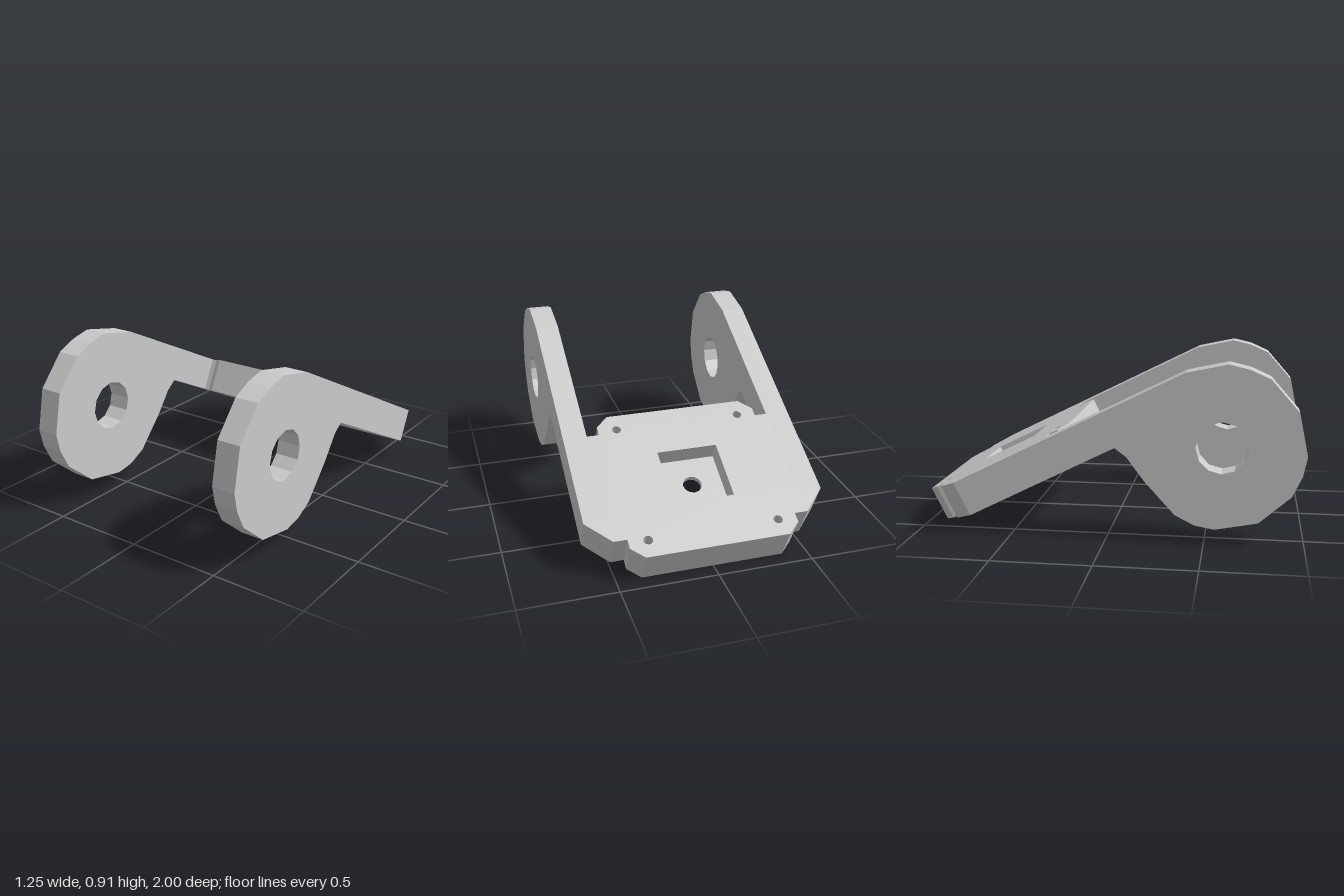
import * as THREE from 'three';

const material = new THREE.MeshStandardMaterial({ color: 0xcccccc, flatShading: true });
const toPoints = (list) => list.map(([x, y]) => new THREE.Vector2(x, y));

function circle(cx, cy, radius, sides) {
  const points = [];
  for (let i = 0; i < sides; i++) {
    const a = (i / sides) * Math.PI * 2;
    points.push([cx + Math.cos(a) * radius, cy + Math.sin(a) * radius]);
  }
  return points;
}

function extrude(outline, holes, depth) {
  const shape = new THREE.Shape(toPoints(outline));
  shape.holes = holes.map((hole) => new THREE.Path(toPoints(hole)));
  return new THREE.ExtrudeGeometry(shape, { depth, bevelEnabled: false });
}

function addMesh(parent, name, geometry) {
  const mesh = new THREE.Mesh(geometry, material);
  mesh.name = name;
  parent.add(mesh);
  return mesh;
}

// Tilted plate: three layers, so the square pocket, bore and round recess meet
function createPlate() {
  const plate = new THREE.Group();
  plate.name = 'plate';

  const half = [
    [0.37, -0.433], [0.435, -0.372], [0.435, -0.321], [0.5, -0.321], [0.5, 0.198],
    [0.625, 0.198], [0.505, 0.321], [0.435, 0.321], [0.435, 0.372], [0.37, 0.433],
  ];
  const outline = [...half, ...half.map(([x, y]) => [-x, y]).reverse()];

  const screwHoles = [];
  for (const x of [-0.337, 0.337]) {
    for (const y of [-0.341, 0.341]) screwHoles.push(circle(x, y, 0.024, 12));
  }

  const s = 0.16;
  const layers = [
    ['plateRoundRecess', 0, 0.064, circle(0, 0, 0.125, 12)],
    ['plateBore', 0.064, 0.026, circle(0, 0, 0.05, 12)],
    ['plateSquarePocket', 0.09, 0.1, [[-s, -s], [s, -s], [s, s], [-s, s]]],
  ];
  for (const [name, start, depth, opening] of layers) {
    const mesh = addMesh(plate, name, extrude(outline, [opening, ...screwHoles], depth));
    mesh.position.z = start;
  }

  plate.rotation.x = -(Math.PI / 2 + Math.atan(0.5));
  plate.position.set(0, 0.194, -0.5275);
  return plate;
}

// Side arm with a rounded lug and pivot hole; profile points are [z, y]
function createArmGeometry() {
  const profile = [
    [-0.79, 0.275], [0.4, 0.87], [0.61, 0.915], [0.715, 0.89], [0.815, 0.845],
    [0.955, 0.685], [1, 0.47], [0.98, 0.37], [0.93, 0.265], [0.77, 0.125],
    [0.555, 0.083], [0.455, 0.1], [0.355, 0.15], [0.2, 0.32], [0.11, 0.44],
    [0.05, 0.485], [-0.705, 0.105],
  ];
  const flip = ([z, y]) => [-z, y];
  const geometry = extrude(profile.map(flip), [circle(0.585, 0.5, 0.131, 12).map(flip)], 0.125);
  return geometry.rotateY(Math.PI / 2);
}

export function createModel() {
  const model = new THREE.Group();
  model.name = 'bracket';
  model.add(createPlate());

  const armGeometry = createArmGeometry();
  addMesh(model, 'leftArm', armGeometry).position.x = 0.5;
  addMesh(model, 'rightArm', armGeometry).position.x = -0.625;
  return model;
}
